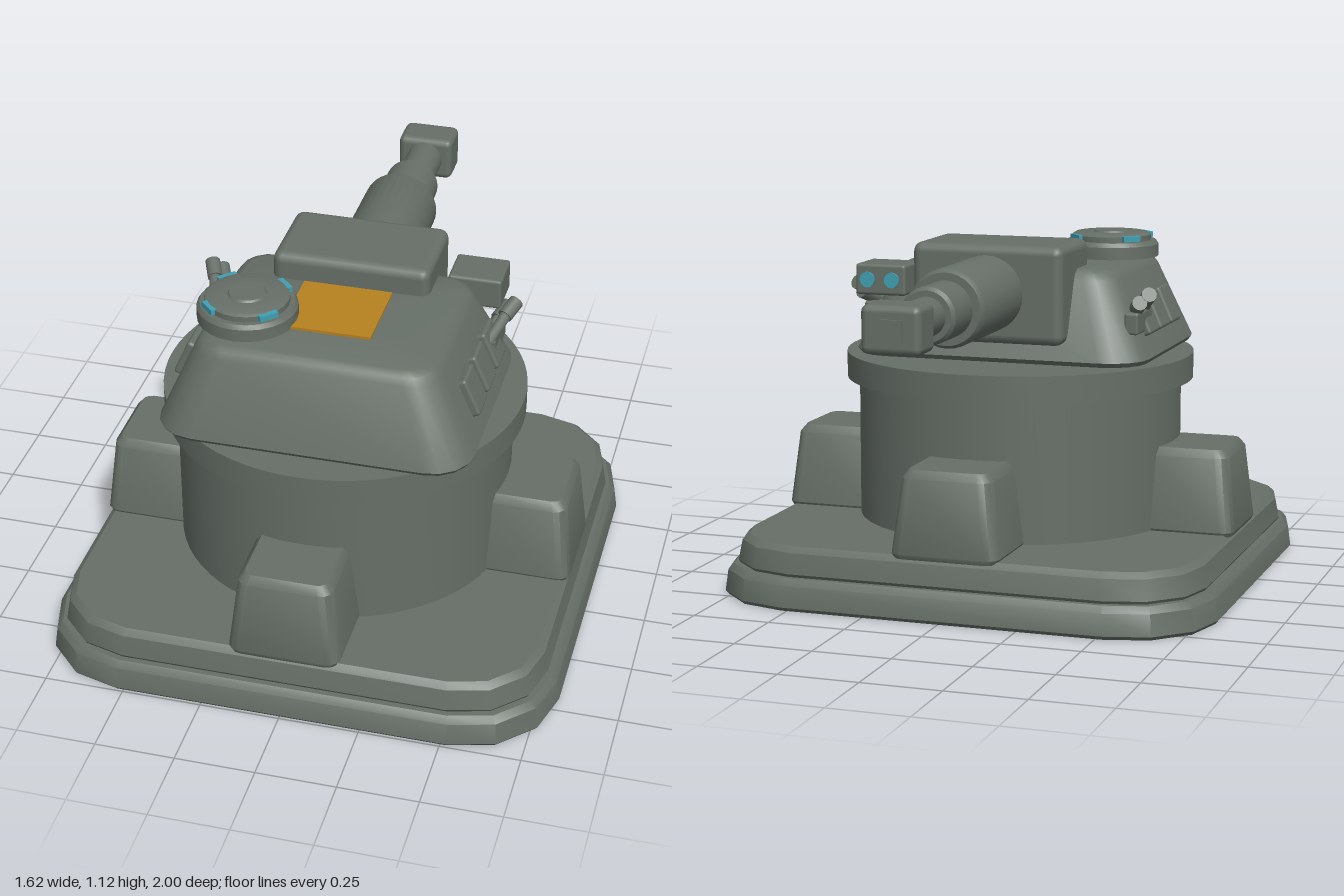
import * as THREE from 'three';
import { toCreasedNormals } from 'three/addons/utils/BufferGeometryUtils.js';
import { RoundedBoxGeometry } from 'three/addons/geometries/RoundedBoxGeometry.js';

const CZ = 0.19; // centre of the emplacement along z

// Solid through rounded-rectangle sections [y, halfX, halfZ, cornerRadius, centreZ]
function loft(sections, seg = 3) {
  const pos = [], idx = [], n = 4 * (seg + 1);
  for (const [y, hx, hz, r, cz = 0] of sections) {
    for (let q = 0; q < 4; q++) {
      const sx = q === 0 || q === 3 ? 1 : -1, sz = q < 2 ? 1 : -1;
      for (let k = 0; k <= seg; k++) {
        const a = (q + k / seg) * Math.PI / 2;
        pos.push(sx * (hx - r) + r * Math.cos(a), y, cz + sz * (hz - r) + r * Math.sin(a));
      }
    }
  }
  const last = sections.length - 1;
  for (let j = 0; j < last; j++) {
    for (let i = 0; i < n; i++) {
      const a = j * n + i, b = j * n + (i + 1) % n;
      idx.push(a, a + n, b + n, a, b + n, b);
    }
  }
  const bottom = pos.length / 3, top = bottom + 1;
  pos.push(0, sections[0][0], sections[0][4] || 0, 0, sections[last][0], sections[last][4] || 0);
  for (let i = 0; i < n; i++) {
    const k = (i + 1) % n;
    idx.push(bottom, i, k, top, last * n + k, last * n + i);
  }
  const g = new THREE.BufferGeometry();
  g.setAttribute('position', new THREE.Float32BufferAttribute(pos, 3));
  g.setIndex(idx);
  return toCreasedNormals(g.toNonIndexed(), 0.6);
}

// Turned solid from [radius, y] points
function turned(points, sides = 48) {
  const g = new THREE.LatheGeometry(points.map(([r, y]) => new THREE.Vector2(r, y)), sides);
  return toCreasedNormals(g, 0.6);
}

export function createModel() {
  const model = new THREE.Group();
  model.name = 'gunTurret';
  const armour = new THREE.MeshStandardMaterial({ color: 0x666f67 });
  armour.name = 'armourGrey';
  const orange = new THREE.MeshStandardMaterial({ color: 0xb8821f });
  orange.name = 'hatchOrange';
  const glass = new THREE.MeshStandardMaterial({ color: 0x3fa0b2 });
  glass.name = 'opticTeal';

  const add = (name, geometry, x = 0, y = 0, z = 0, material = armour) => {
    const m = new THREE.Mesh(geometry, material);
    m.name = name;
    m.position.set(x, y, z);
    model.add(m);
    return m;
  };
  const box = (w, h, d, r) => new RoundedBoxGeometry(w, h, d, 2, r);
  // Cylinder running from point a to point b
  const rod = (name, a, b, r) => {
    const p = new THREE.Vector3(...a), q = new THREE.Vector3(...b);
    const m = add(name, new THREE.CylinderGeometry(r, r, p.distanceTo(q), 12));
    m.position.copy(p).lerp(q, 0.5);
    m.quaternion.setFromUnitVectors(new THREE.Vector3(0, 1, 0), q.sub(p).normalize());
  };

  // Stepped base
  add('baseLower', loft([
    [0, 0.8, 0.8, 0.28], [0.012, 0.81, 0.81, 0.29], [0.08, 0.8, 0.8, 0.28], [0.1, 0.782, 0.782, 0.265],
  ]), 0, 0, CZ);
  add('baseUpper', loft([
    [0.095, 0.76, 0.76, 0.25], [0.11, 0.77, 0.77, 0.26], [0.175, 0.757, 0.757, 0.25], [0.193, 0.737, 0.737, 0.235],
  ]), 0, 0, CZ);

  // Drum and bearing ring
  add('drum', turned([[0, 0.18], [0.53, 0.18], [0.53, 0.66], [0, 0.66]], 64), 0, 0, CZ + 0.005);
  add('bearingRing', turned([[0, 0.65], [0.57, 0.65], [0.57, 0.735], [0, 0.735]], 64), 0, 0, CZ + 0.005);

  // Four buttresses around the drum
  const buttress = loft([
    [0.185, 0.167, 0.163, 0.035, 0.595], [0.2, 0.175, 0.17, 0.04, 0.595],
    [0.435, 0.148, 0.145, 0.04, 0.595], [0.46, 0.128, 0.125, 0.03, 0.595],
  ]);
  for (let i = 0; i < 4; i++) add('buttress', buttress, 0, 0, CZ).rotation.y = i * Math.PI / 2;

  // Sloped turret housing
  add('turretHousing', loft([
    [0.735, 0.48, 0.385, 0.12, 0.275], [0.75, 0.49, 0.397, 0.13, 0.275],
    [0.995, 0.382, 0.312, 0.1, 0.287], [1.018, 0.366, 0.298, 0.09, 0.287], [1.03, 0.342, 0.275, 0.08, 0.287],
  ], 4));

  // Gun mantlet, stepped barrel and muzzle
  add('mantlet', box(0.5, 0.315, 0.3, 0.03), 0, 0.957, -0.005);
  const barrel = add('barrel', turned([
    [0, 0.1], [0.122, 0.1], [0.122, 0.515], [0.112, 0.53], [0.088, 0.53], [0.088, 0.68],
    [0.078, 0.692], [0.06, 0.692], [0.06, 0.88], [0, 0.88],
  ], 32), 0, 0.96, 0);
  barrel.rotation.x = -Math.PI / 2;
  add('muzzle', box(0.185, 0.145, 0.13, 0.022), 0, 0.96, -0.928);
  add('muzzleBore', new THREE.BoxGeometry(0.08, 0.065, 0.009), 0, 0.96, -0.9955);

  // Roof hatch
  add('roofHatch', new THREE.BoxGeometry(0.28, 0.009, 0.27), 0, 1.036, 0.295, orange);

  // Commander cupola with four vision blocks
  add('cupola', turned([
    [0, 1.025], [0.155, 1.032], [0.155, 1.072], [0.146, 1.085], [0.13, 1.085],
    [0.13, 1.103], [0.118, 1.11], [0.06, 1.11], [0.055, 1.116], [0, 1.116],
  ], 24), -0.255, 0, 0.385);
  for (let i = 0; i < 4; i++) {
    const a = Math.PI / 4 + i * Math.PI / 2;
    add('visionBlock', new THREE.BoxGeometry(0.062, 0.018, 0.02),
      -0.255 + 0.129 * Math.sin(a), 1.097, 0.385 + 0.129 * Math.cos(a), glass).rotation.y = a;
  }

  // Sight box with twin lenses
  add('sightBox', box(0.17, 0.1, 0.145, 0.01), 0.365, 0.986, -0.063);
  for (const x of [0.325, 0.408]) {
    const lens = add('sightLens', new THREE.CylinderGeometry(0.025, 0.025, 0.009, 20), x, 0.986, -0.138, glass);
    lens.rotation.x = Math.PI / 2;
  }

  // Side armour tiles and smoke launchers, mirrored
  for (const s of [1, -1]) {
    for (const z of [0.385, 0.25, 0.115]) {
      add('armourTile', box(0.045, 0.127, 0.11, 0.01), s * 0.438, 0.873, z).rotation.z = s * 0.42;
    }
    add('launcherBracket', box(0.045, 0.07, 0.17, 0.008), s * 0.44, 0.865, 0.055);
    for (const [x, y, z] of [[0, 0, 0], [-0.025, -0.025, -0.02]]) {
      rod('launcherTube', [s * (0.435 + x), 0.89 + y, 0.15 + z], [s * (0.475 + x), 0.94 + y, 0.03 + z], 0.018);
      rod('launcherCap', [s * (0.47 + x), 0.935 + y, 0.04 + z], [s * (0.495 + x), 0.96 + y, -0.015 + z], 0.024);
    }
  }
  return model;
}
